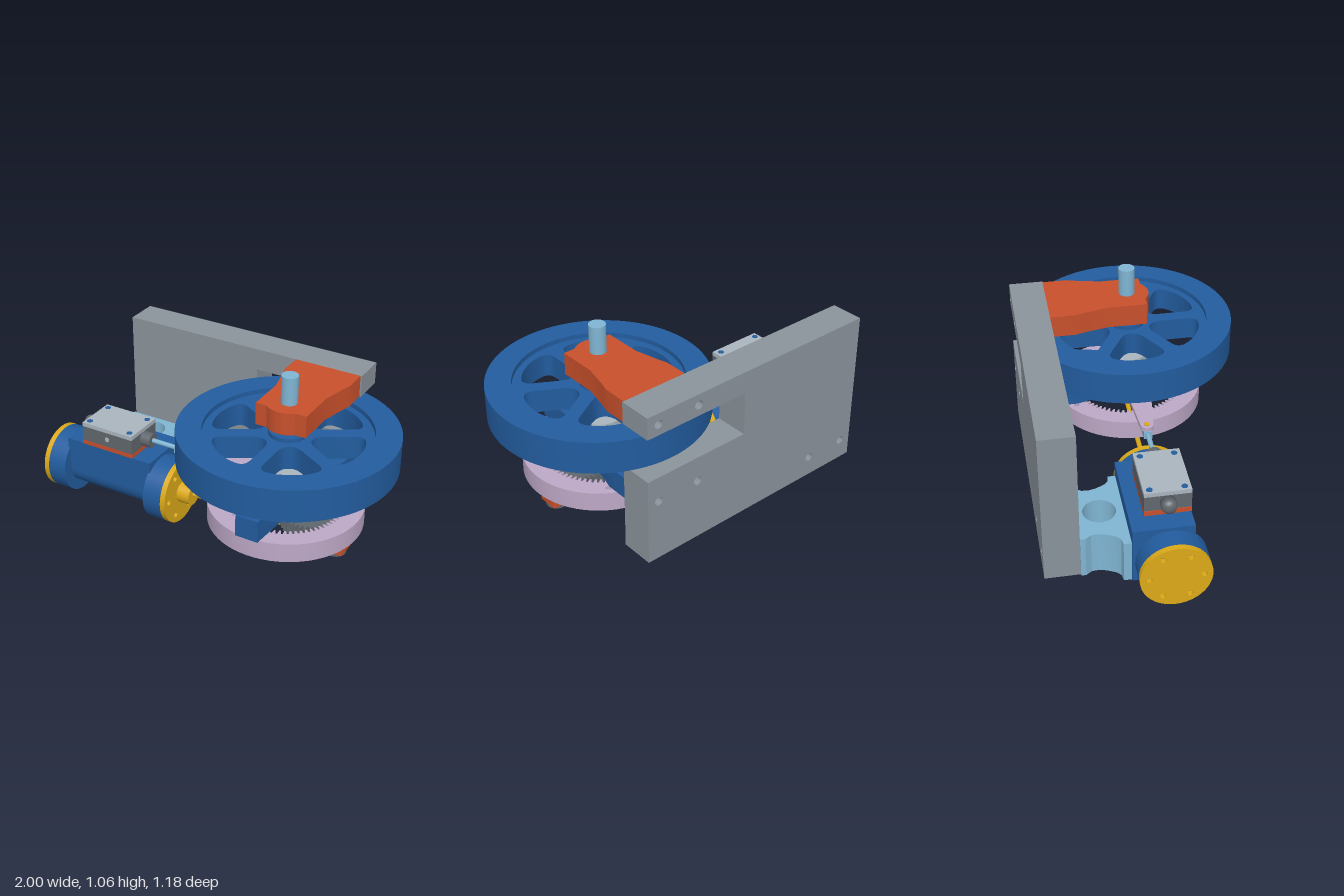
import * as THREE from 'three';
import { toCreasedNormals } from 'three/addons/utils/BufferGeometryUtils.js';

const mat = (color) => new THREE.MeshStandardMaterial({ color });
const BLUE = mat(0x225c9e), ORANGE = mat(0xc8502c), GOLD = mat(0xdca918), LILAC = mat(0xbda8c6),
  SKY = mat(0x80b5d3), PLATE = mat(0x8a939b), DARK = mat(0x60676d), LIGHT = mat(0xaab5be);
const SX = 0.432, Z0 = 0.022;   // crankshaft axis
const CY = 0.18;                // cylinder axis height
const TAU = Math.PI * 2;

export function createModel() {
  const model = new THREE.Group();

  const add = (name, geo, material) => {
    const m = new THREE.Mesh(geo, material);
    m.name = name;
    model.add(m);
    return m;
  };
  const shapeOf = (pts) => new THREE.Shape(pts.map(([x, y]) => new THREE.Vector2(x, y)));
  const circle = (x, y, r) => new THREE.Shape().absarc(x, y, r, 0, TAU, false);
  const extrude = (shape, depth) => toCreasedNormals(
    new THREE.ExtrudeGeometry(shape, { depth, bevelEnabled: false, curveSegments: 32 }), 0.5);
  // Horizontal slab from a shape drawn in (x, z)
  const slab = (name, shape, y0, y1, material) =>
    add(name, extrude(shape, y1 - y0).rotateX(Math.PI / 2).translate(0, y1, 0), material);
  const box = (name, x0, x1, y0, y1, z0, z1, material) =>
    add(name, new THREE.BoxGeometry(x1 - x0, y1 - y0, z1 - z0)
      .translate((x0 + x1) / 2, (y0 + y1) / 2, (z0 + z1) / 2), material);
  const rodX = (name, x0, x1, r, y, material) =>
    add(name, new THREE.CylinderGeometry(r, r, x1 - x0, 48).rotateZ(Math.PI / 2)
      .translate((x0 + x1) / 2, y, Z0), material);
  const rodY = (name, x, z, r, y0, y1, material, sides = 48) =>
    add(name, new THREE.CylinderGeometry(r, r, y1 - y0, sides)
      .translate(x, (y0 + y1) / 2, z), material);
  // Polygon with softened corners
  const rounded = (pts, r) => {
    const v = pts.map(([x, y]) => new THREE.Vector2(x, y)), s = new THREE.Shape();
    v.forEach((p, i) => {
      const toward = (q) => p.clone().add(q.clone().sub(p).setLength(Math.min(r, p.distanceTo(q) * 0.48)));
      const a = toward(v[(i + v.length - 1) % v.length]), b = toward(v[(i + 1) % v.length]);
      i ? s.lineTo(a.x, a.y) : s.moveTo(a.x, a.y);
      s.quadraticCurveTo(p.x, p.y, b.x, b.y);
    });
    return s.closePath();
  };
  // Toothed outline
  const gear = (x, y, root, tip, teeth) => {
    const pts = [];
    for (let i = 0; i < teeth; i++)
      [[0, root], [0.3, root], [0.45, tip], [0.75, tip]].forEach(([f, r]) => {
        const a = (i + f) / teeth * TAU;
        pts.push([x + r * Math.cos(a), y + r * Math.sin(a)]);
      });
    return shapeOf(pts);
  };

  // Back plate with flywheel notch and bolt holes
  const plate = shapeOf([[-0.785, 0.065], [0.625, 0.065], [0.625, 0.55], [0.015, 0.55],
    [0.015, 0.79], [0.625, 0.79], [0.625, 0.91], [-0.785, 0.91]]);
  [[0.56, 0.85], [0.315, 0.85], [0.56, 0.41], [0.315, 0.41], [-0.475, 0.18], [-0.715, 0.18]]
    .forEach(([x, y]) => plate.holes.push(circle(x, y, 0.024)));
  add('backPlate', extrude(plate, 0.18).translate(0, 0, -0.59), PLATE);

  // Shaft bearings bolted to the plate
  const bearing = (nose) => {
    const s = shapeOf([[SX - 0.185, -0.41], [SX + 0.185, -0.41], [SX + 0.185, -0.28],
      [SX + 0.17, -0.23], [SX + 0.14, -0.1], [SX + 0.14, 0.11],
      ...nose, [SX - 0.14, 0.11], [SX - 0.14, -0.1], [SX - 0.17, -0.23], [SX - 0.185, -0.28]]);
    s.holes.push(circle(SX, Z0, 0.043));
    return s;
  };
  const arc = [];
  for (let i = 0; i <= 10; i++) {
    const a = Math.PI * (0.27 + 0.046 * i);
    arc.push([SX + 0.118 * Math.cos(a), Z0 + 0.118 * Math.sin(a)]);
  }
  slab('upperBearing', bearing(arc), 0.79, 0.91, ORANGE);
  slab('lowerBearing', bearing([[SX + 0.085, 0.11], [SX + 0.062, 0.44], [SX - 0.062, 0.44],
    [SX - 0.085, 0.11]]), 0.345, 0.465, BLUE);
  rodY('crankshaft', SX, Z0, 0.043, 0.315, 1.06, SKY);

  // Flywheel: heavy rim, thinner web with six rounded windows, hub
  const rim = circle(SX, Z0, 0.565);
  rim.holes.push(circle(SX, Z0, 0.432));
  add('flywheelRim', toCreasedNormals(new THREE.ExtrudeGeometry(rim,
    { depth: 0.175, bevelEnabled: false, curveSegments: 96 }), 0.5)
    .rotateX(Math.PI / 2).translate(0, 0.76, 0), BLUE);
  const web = circle(SX, Z0, 0.435);
  for (let i = 0; i < 6; i++) {
    const mid = i * TAU / 6;
    const at = (r, side) => {
      const a = mid + side * (TAU / 12 - Math.asin(0.036 / r));
      return [SX + r * Math.cos(a), Z0 + r * Math.sin(a)];
    };
    web.holes.push(rounded([at(0.14, -1), at(0.385, -1), at(0.4, -0.35), at(0.4, 0.35),
      at(0.385, 1), at(0.14, 1)], 0.06));
  }
  slab('flywheelWeb', web, 0.61, 0.735, BLUE);
  rodY('flywheelHub', SX, Z0, 0.1, 0.587, 0.757, BLUE);

  // Internal ring gear, planet pinion and its carrier
  const ring = circle(SX, Z0, 0.407);
  ring.holes.push(gear(SX, Z0, 0.318, 0.292, 72));
  [0.25, 0.66, 0.84].forEach((t) => ring.holes.push(
    circle(SX + 0.365 * Math.cos(t * TAU), Z0 + 0.365 * Math.sin(t * TAU), 0.014)));
  slab('ringGear', ring, 0.24, 0.345, LILAC);
  const px = SX + 0.15;
  slab('planetPinion', gear(px, Z0, 0.136, 0.16, 36), 0.24, 0.315, DARK);
  rodY('carrierDisc', SX, Z0, 0.17, 0.315, 0.344, LIGHT);
  rodY('pinionPin', px, Z0, 0.04, 0.19, 0.35, LIGHT);

  // Pinion crank and the clamp on its pin
  const pinX = SX + 0.288;
  const crank = new THREE.Shape();
  crank.absarc(px, Z0, 0.0875, Math.PI * 0.46, Math.PI * 1.54, false);
  crank.absarc(pinX, Z0, 0.07, -Math.PI * 0.46, Math.PI * 0.46, false);
  slab('pinionCrank', crank, 0.195, 0.24, DARK);
  slab('rodEndClamp', rounded([[0.655, Z0 - 0.035], [0.69, Z0 - 0.06], [0.785, Z0 - 0.06],
    [0.785, Z0 + 0.06], [0.69, Z0 + 0.06], [0.655, Z0 + 0.035]], 0.012), 0.145, 0.197, ORANGE);
  rodY('clampScrew', pinX + 0.005, Z0, 0.057, 0.125, 0.146, DARK);
  rodX('pistonRod', -0.22, 0.7, 0.013, 0.185, GOLD);

  // Cylinder body: round underneath, flat top and back
  const body = new THREE.Shape();
  body.moveTo(0.17, 0.375).lineTo(-Z0 - 0.115, 0.375).lineTo(-Z0 - 0.115, CY);
  body.absarc(-Z0, CY, 0.115, Math.PI, Math.PI * 1.5, false);
  body.lineTo(0.17, 0.065).closePath();
  add('cylinderBody', extrude(body, 0.54).rotateY(Math.PI / 2).translate(-0.87, 0, 0), BLUE);

  // Flanges and drilled end caps
  const cap = circle(0, 0, 0.178);
  for (let i = 0; i < 6; i++)
    cap.holes.push(circle(0.134 * Math.cos(i * TAU / 6), 0.134 * Math.sin(i * TAU / 6), 0.016));
  [[-0.97, -0.86, -1], [-0.34, -0.23, -0.23]].forEach(([x0, x1, xc]) => {
    rodX('cylinderFlange', x0, x1, 0.178, CY, BLUE);
    add('endCap', extrude(cap, 0.03).rotateY(Math.PI / 2).translate(xc, CY, Z0), GOLD);
  });
  rodX('rodGland', -0.2, -0.125, 0.058, CY, GOLD);

  // Waisted mount between cylinder and plate
  const mx = -0.605, half = [[0.19, -0.41], [0.19, -0.385], [0.168, -0.355], [0.165, -0.32],
    [0.175, -0.28], [0.198, -0.235], [0.22, -0.215], [0.257, -0.21], [0.257, -0.168]];
  const mount = shapeOf([...half.map(([x, z]) => [mx + x, z]),
    ...half.slice().reverse().map(([x, z]) => [mx - x, z])]);
  mount.holes.push(circle(mx, -0.29, 0.083));
  slab('cylinderMount', mount, 0.065, 0.3, SKY);

  // Valve chest
  box('chestGasket', -0.765, -0.44, 0.375, 0.4, -0.095, 0.14, ORANGE);
  box('valveChest', -0.76, -0.44, 0.4, 0.485, -0.095, 0.14, DARK);
  box('chestLid', -0.76, -0.44, 0.485, 0.508, -0.095, 0.14, LIGHT);
  for (const x of [-0.733, -0.473]) for (const z of [-0.064, 0.108])
    rodY('lidScrew', x, z, 0.016, 0.49, 0.51, BLUE, 20);
  add('chestPort', new THREE.CylinderGeometry(0.014, 0.014, 0.02, 20).rotateX(Math.PI / 2)
    .translate(-0.6, 0.445, 0.132), LIGHT);
  add('valveRodGuide', new THREE.LatheGeometry([[0, 0], [0.04, 0], [0.04, 0.038], [0.033, 0.055],
    [0.018, 0.063], [0, 0.065]].map(([r, h]) => new THREE.Vector2(r, h)), 32)
    .rotateZ(Math.PI / 2).translate(-0.757, 0.445, Z0), DARK);
  rodX('valveRodGland', -0.44, -0.38, 0.04, 0.445, DARK);
  rodX('valveRod', -0.39, -0.22, 0.013, 0.447, SKY);
  box('valveRodEnd', -0.232, -0.165, 0.425, 0.468, 0, 0.044, SKY);
  rodY('valvePin', -0.195, Z0, 0.014, 0.43, 0.495, GOLD, 20);

  // Eccentric with tapering strap and set screw
  const strap = new THREE.Shape();
  strap.absarc(-0.195, Z0, 0.034, Math.PI / 2, Math.PI * 1.5, false);
  strap.absarc(SX, Z0 + 0.02, 0.098, -Math.PI * 0.53, Math.PI * 0.53, false);
  slab('eccentricStrap', strap.closePath(), 0.466, 0.49, LILAC);
  rodY('eccentricCollar', SX, Z0, 0.117, 0.49, 0.55, LIGHT);
  rodX('setScrew', SX + 0.08, SX + 0.119, 0.016, 0.522, SKY);

  return model;
}
